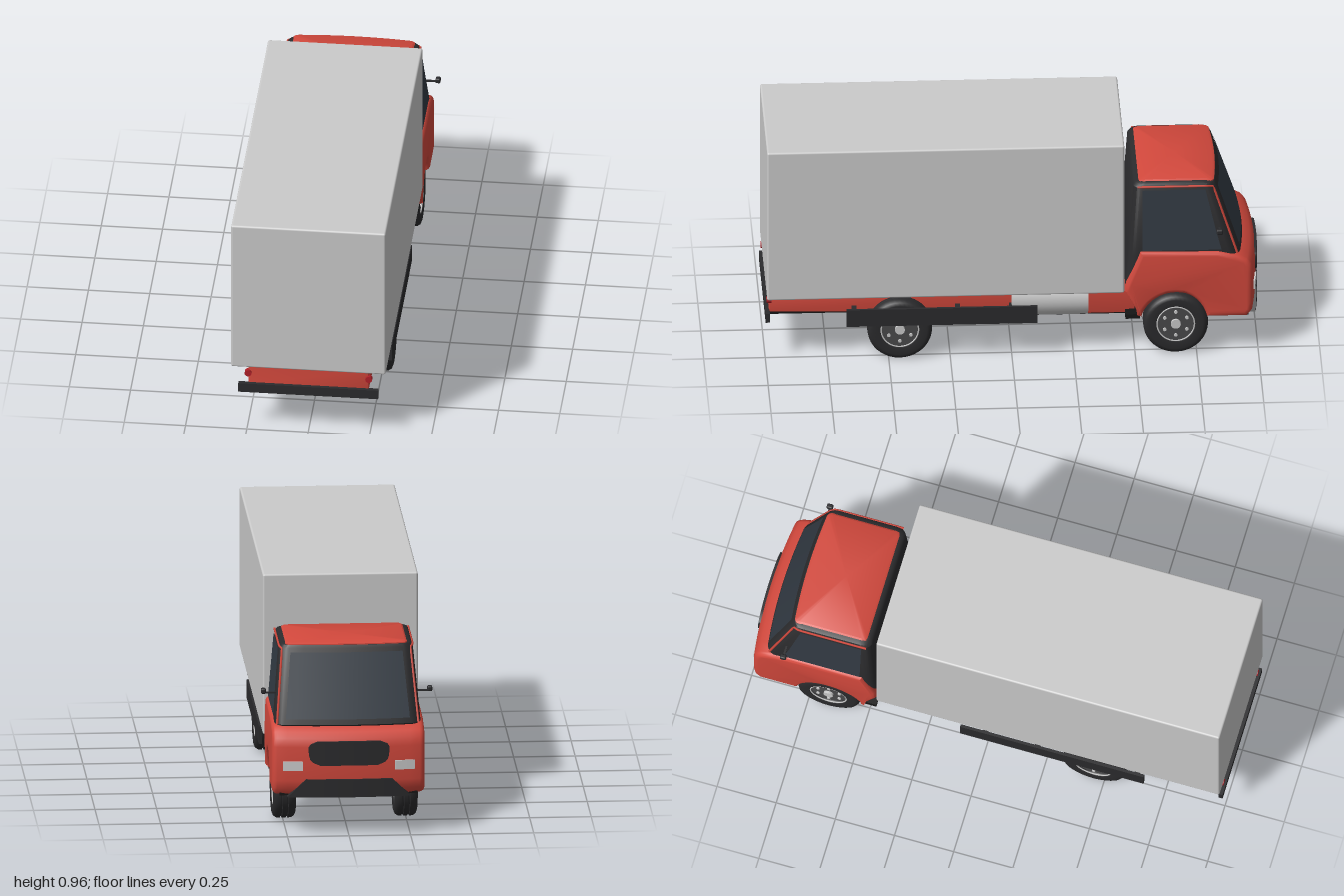
import * as THREE from 'three';
import { toCreasedNormals } from 'three/addons/utils/BufferGeometryUtils.js';
import { RoundedBoxGeometry } from 'three/addons/geometries/RoundedBoxGeometry.js';

const mat = (color) => new THREE.MeshStandardMaterial({ color });
const RED = mat(0xd2483c), DARK = mat(0x2b2b2d), GLASS = mat(0x333b44), GREY = mat(0xcccccc);
const RIM = mat(0x4a4a4c), UNDER = mat(0x161616), LAMP = mat(0xb02028);
const V = (x, y, z) => new THREE.Vector3(x, y, z);

function add(parent, name, geometry, material, x = 0, y = 0, z = 0) {
  const m = new THREE.Mesh(geometry, material);
  m.name = name;
  m.position.set(x, y, z);
  parent.add(m);
  return m;
}

// box given by its limits
function block(parent, name, material, x0, x1, y0, y1, z0, z1) {
  return add(parent, name, new THREE.BoxGeometry(x1 - x0, y1 - y0, z1 - z0), material,
    (x0 + x1) / 2, (y0 + y1) / 2, (z0 + z1) / 2);
}

// sweeps the nose of the cab back towards its sides
const bowZ = (x, z) => z + 0.25 * x * x * THREE.MathUtils.clamp((-0.7 - z) / 0.15, 0, 1);
function bow(g) {
  const p = g.attributes.position;
  for (let i = 0; i < p.count; i++) p.setZ(i, bowZ(p.getX(i), p.getZ(i)));
  g.computeVertexNormals();
  return g;
}

// rounded rectangle ring with extra points along the front edge
function ring([y, hw, zf, zb, r]) {
  const pts = [];
  const centres = [[hw - r, zb - r], [-hw + r, zb - r], [-hw + r, zf + r], [hw - r, zf + r]];
  centres.forEach(([cx, cz], q) => {
    for (let i = 0; i <= 5; i++) {
      const t = (q + i / 5) * Math.PI / 2;
      pts.push(V(cx + r * Math.cos(t), y, cz + r * Math.sin(t)));
    }
    if (q === 2) for (let i = 1; i < 8; i++) pts.push(V((hw - r) * (i / 4 - 1), y, zf));
  });
  return pts;
}

// skin over rings stacked upwards, closed on top
function loft(sections) {
  const rings = sections.map(ring), n = rings[0].length, pos = [], idx = [];
  rings.flat().forEach((p) => pos.push(p.x, p.y, p.z));
  const last = sections[sections.length - 1];
  pos.push(0, last[0], (last[2] + last[3]) / 2);
  for (let j = 0; j < n; j++) {
    const k = (j + 1) % n;
    for (let i = 0; i < rings.length - 1; i++) {
      const a = i * n + j, b = i * n + k;
      idx.push(a, a + n, b, b, a + n, b + n);
    }
    const top = (rings.length - 1) * n;
    idx.push(rings.length * n, top + k, top + j);
  }
  const g = new THREE.BufferGeometry();
  g.setAttribute('position', new THREE.Float32BufferAttribute(pos, 3));
  g.setIndex(idx);
  return toCreasedNormals(bow(g), 0.6);
}

// four-cornered sheet that follows the bow of the cab
function sheet(bl, br, tr, tl) {
  const g = new THREE.PlaneGeometry(1, 1, 12, 3), p = g.attributes.position;
  for (let i = 0; i < p.count; i++) {
    const u = p.getX(i) + 0.5, v = p.getY(i) + 0.5;
    const q = bl.clone().lerp(br, u).lerp(tl.clone().lerp(tr, u), v);
    p.setXYZ(i, q.x, q.y, q.z);
  }
  return bow(g);
}

// segmented block on the nose; width(t) scales x, t runs from -1 (bottom) to 1 (top)
function noseBlock(w, h, d, x, y, z, width = () => 1) {
  const g = new THREE.BoxGeometry(w, h, d, 12, 8, 1), p = g.attributes.position;
  for (let i = 0; i < p.count; i++) p.setX(i, p.getX(i) * width(2 * p.getY(i) / h));
  return toCreasedNormals(bow(g.translate(x, y, z)), 0.6);
}

// side outline (u = -z, v = y) swept across the width
function sideExtrude(shape, hw, bevel, steps) {
  const g = new THREE.ExtrudeGeometry(shape, {
    depth: 2 * (hw - bevel), steps, curveSegments: 20, bevelEnabled: true,
    bevelThickness: bevel, bevelSize: bevel, bevelOffset: -bevel, bevelSegments: 4,
  });
  g.translate(0, 0, bevel - hw).rotateY(Math.PI / 2);
  return toCreasedNormals(bow(g), 0.6);
}

function makeWheel() {
  const w = new THREE.Group();
  w.name = 'wheel';
  const profile = [[0.076, -0.03], [0.08, -0.043], [0.11, -0.047], [0.123, -0.042], [0.131, -0.03],
    [0.132, -0.016], [0.126, -0.014], [0.126, -0.01], [0.132, -0.008], [0.132, 0.008], [0.126, 0.01],
    [0.126, 0.014], [0.132, 0.016], [0.131, 0.03], [0.123, 0.042], [0.11, 0.047], [0.08, 0.043], [0.076, 0.03]];
  const tyre = new THREE.LatheGeometry(profile.map(([r, y]) => new THREE.Vector2(r, y)), 40).rotateZ(-Math.PI / 2);
  add(w, 'tyre', toCreasedNormals(tyre, 0.7), DARK);
  const disc = (name, r, d, m, x, y = 0, z = 0) =>
    add(w, name, new THREE.CylinderGeometry(r, r, d, 28).rotateZ(Math.PI / 2), m, x, y, z);
  disc('rim', 0.077, 0.03, RIM, 0.018);
  disc('rimBack', 0.077, 0.03, GREY, -0.02);
  disc('hub', 0.02, 0.02, GREY, 0.034);
  add(w, 'rimRing', new THREE.TorusGeometry(0.076, 0.003, 6, 40).rotateY(Math.PI / 2), GREY, 0.04);
  for (let i = 0; i < 6; i++) {
    const a = i * Math.PI / 3;
    disc('bolt', 0.007, 0.01, GREY, 0.034, 0.052 * Math.cos(a), 0.052 * Math.sin(a));
  }
  return w;
}

function makeCab() {
  const cab = new THREE.Group();
  cab.name = 'cab';

  // lower body with wheel arches
  const s = new THREE.Shape();
  s.moveTo(0.455, 0.17);
  s.absarc(0.665, 0.135, 0.145, Math.PI - 0.244, 0.244, true);
  [[0.975, 0.17], [0.995, 0.195], [0.999, 0.23], [0.999, 0.37], [0.993, 0.405], [0.975, 0.428], [0.935, 0.448],
    [0.86, 0.465], [0.52, 0.47], [0.465, 0.33], [0.457, 0.29]].forEach(([u, v]) => s.lineTo(u, v));
  s.closePath();
  add(cab, 'lowerBody', sideExtrude(s, 0.31, 0.02, 14), RED);

  // dark window frame and red roof
  add(cab, 'windowFrame', loft([[0.3, 0.298, -0.85, -0.46, 0.03], [0.45, 0.298, -0.945, -0.472, 0.04],
    [0.745, 0.272, -0.843, -0.492, 0.04], [0.757, 0.265, -0.836, -0.5, 0.04], [0.763, 0.252, -0.822, -0.51, 0.04]]), DARK);
  add(cab, 'roof', loft([[0.745, 0.25, -0.836, -0.512, 0.02], [0.762, 0.248, -0.834, -0.514, 0.02],
    [0.768, 0.24, -0.822, -0.524, 0.02]]), RED);

  // windows
  const at = (y) => {
    const t = (y - 0.45) / 0.295;
    return { x: 0.298 - 0.026 * t, z: -0.945 + 0.102 * t };
  };
  const lo = at(0.472), hi = at(0.73);
  add(cab, 'windscreen', sheet(V(0.252, 0.472, lo.z - 0.003), V(-0.252, 0.472, lo.z - 0.003),
    V(-0.228, 0.73, hi.z - 0.003), V(0.228, 0.73, hi.z - 0.003)), GLASS);
  for (const k of [1, -1]) {
    const rear = [V(k * (lo.x + 0.003), 0.472, -0.53), V(k * (hi.x + 0.003), 0.735, -0.53)];
    const front = [V(k * (lo.x + 0.003), 0.472, lo.z + 0.065), V(k * (hi.x + 0.003), 0.735, hi.z + 0.05)];
    const [a, b] = k > 0 ? [rear, front] : [front, rear];
    add(cab, 'sideWindow', sheet(a[0], b[0], b[1], a[1]), GLASS);

    // red trim along roof edge and front pillar
    const trim = new THREE.CurvePath();
    const pts = [[0.271, 0.748, -0.51], [0.271, 0.748, -0.81], [0.261, 0.742, -0.833], [0.287, 0.45, -0.935]]
      .map(([x, y, z]) => V(k * x, y, bowZ(x, z)));
    for (let i = 0; i < 3; i++) trim.add(new THREE.LineCurve3(pts[i], pts[i + 1]));
    add(cab, 'pillarTrim', new THREE.TubeGeometry(trim, 30, 0.005, 6), RED);

    add(cab, 'headlight', noseBlock(0.08, 0.038, 0.03, k * 0.228, 0.292, -0.99), GREY);

    // mirror
    block(cab, 'mirrorArm', DARK, k > 0 ? 0.27 : -0.34, k > 0 ? 0.34 : -0.27, 0.562, 0.568, -0.845, -0.837);
    add(cab, 'mirror', new RoundedBoxGeometry(0.02, 0.022, 0.026, 3, 0.006), DARK, k * 0.338, 0.572, -0.841);
  }
  add(cab, 'grille', noseBlock(0.34, 0.1, 0.03, 0, 0.345, -0.99,
    (t) => Math.pow(1 - Math.pow(Math.abs(t) * 0.85, 4), 0.4) * (0.96 + 0.04 * t)), DARK);
  add(cab, 'frontBumper', noseBlock(0.5, 0.075, 0.05, 0, 0.2, -0.981, (t) => 0.85 - 0.15 * t), DARK);
  return cab;
}

export function createModel() {
  const truck = new THREE.Group();
  truck.name = 'boxTruck';
  truck.add(makeCab());

  // cargo box
  add(truck, 'cargoBox', new RoundedBoxGeometry(0.63, 0.67, 1.45, 3, 0.008), GREY, 0, 0.625, 0.27);

  // chassis
  const s = new THREE.Shape();
  [[-0.985, 0.205], [-0.6, 0.195], [0, 0.18], [0.2, 0.168], [0.5, 0.168], [0.5, 0.3], [-0.985, 0.3]]
    .forEach(([u, v], i) => (i ? s.lineTo(u, v) : s.moveTo(u, v)));
  s.closePath();
  add(truck, 'chassis', sideExtrude(s, 0.245, 0.004, 1), RED);

  // dark underside
  block(truck, 'underside', UNDER, -0.19, 0.19, 0.164, 0.285, -0.93, 0.6);
  for (const [z0, z1, y, hw] of [[-0.96, -0.81, 0.164, 0.28], [-0.52, -0.46, 0.164, 0.295],
    [-0.46, 0.32, 0.164, 0.242], [0.59, 0.98, 0.194, 0.242]]) {
    block(truck, 'undersidePlate', UNDER, -hw, hw, y, y + 0.02, z0, z1);
  }

  // wheels and axles
  for (const z of [-0.665, 0.455]) {
    add(truck, 'axle', new THREE.CylinderGeometry(0.02, 0.02, 0.46, 12).rotateZ(Math.PI / 2), DARK, 0, 0.133, z);
    for (const k of [1, -1]) {
      const w = makeWheel();
      w.position.set(k * 0.247, 0.132, z);
      if (k < 0) w.rotation.y = Math.PI;
      truck.add(w);
    }
  }

  // side guards and tail lights
  for (const k of [1, -1]) {
    add(truck, 'sideGuard', new THREE.BoxGeometry(0.012, 0.075, 0.775), DARK, k * 0.302, 0.198, 0.285);
    for (const z of [0, 0.22, 0.64]) {
      add(truck, 'guardBracket', new THREE.BoxGeometry(0.07, 0.02, 0.02), DARK, k * 0.265, 0.215, z);
    }
    add(truck, 'tailLight', new THREE.CylinderGeometry(0.014, 0.014, 0.02, 20).rotateX(Math.PI / 2), LAMP, k * 0.246, 0.262, 0.985);
  }

  // fuel tank
  add(truck, 'fuelTank', new THREE.CylinderGeometry(0.088, 0.088, 0.31, 32).rotateX(Math.PI / 2), GREY, 0.203, 0.243, -0.155);

  // rear bumper
  block(truck, 'rearBumper', DARK, -0.285, 0.285, 0.176, 0.216, 0.982, 1);
  for (const x of [-0.15, 0.15]) block(truck, 'bumperBracket', DARK, x - 0.015, x + 0.015, 0.19, 0.23, 0.93, 0.985);
  return truck;
}
